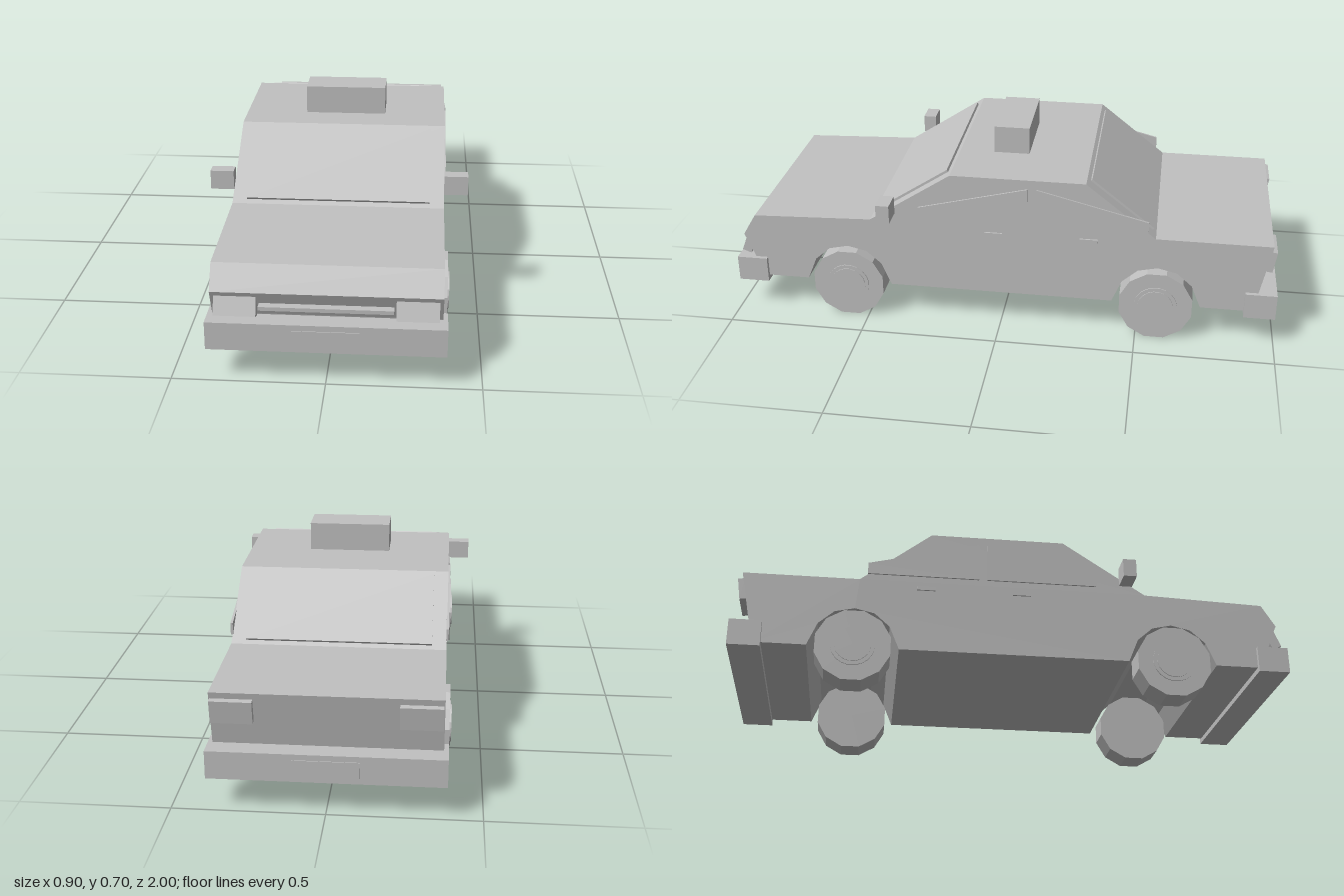
import * as THREE from 'three';

export function createModel() {
  const car = new THREE.Group();
  car.name = 'car';
  const grey = new THREE.MeshStandardMaterial({ color: 0xc0c0c0, flatShading: true });
  grey.name = 'plain grey';

  const add = (name, geometry, x = 0, y = 0, z = 0, tilt = 0) => {
    const mesh = new THREE.Mesh(geometry, grey);
    mesh.name = name;
    mesh.position.set(x, y, z);
    mesh.rotation.x = tilt;
    car.add(mesh);
    return mesh;
  };
  const box = (name, w, h, d, x, y, z, tilt) =>
    add(name, new THREE.BoxGeometry(w, h, d), x, y, z, tilt);

  // Side profile of [z, y] points, extruded across the car and centred on x
  const slab = (points, width) => {
    const shape = new THREE.Shape(points.map(([z, y]) => new THREE.Vector2(z, y)));
    const g = new THREE.ExtrudeGeometry(shape, { depth: width, bevelEnabled: false });
    return g.translate(0, 0, -width / 2).rotateY(-Math.PI / 2);
  };

  // Body with the wheel arches cut into its underside
  const axles = [0.571, -0.569];
  const arch = [[-0.16, 0.13], [-0.125, 0.215], [-0.07, 0.264], [0, 0.28],
    [0.07, 0.264], [0.125, 0.215], [0.16, 0.13]];
  const archAt = (z) => arch.map(([dz, y]) => [z + dz, y]);
  const profile = [
    [-0.915, 0.13], ...archAt(axles[1]), ...archAt(axles[0]),
    [0.91, 0.13], [0.93, 0.21], [0.967, 0.3], [0.918, 0.381],
    [0.48, 0.397], [0.18, 0.595], [-0.305, 0.595], [-0.557, 0.397], [-0.968, 0.397],
  ];
  add('body', slab(profile, 0.74));

  // Glass plates lying on the sloping windscreen and rear window
  const glass = (name, z0, y0, z1, y1) => {
    const length = Math.hypot(z1 - z0, y1 - y0) * 0.9;
    box(name, 0.64, length, 0.016, 0, (y0 + y1) / 2 + 0.001, (z0 + z1) / 2,
      Math.atan2(z1 - z0, y1 - y0));
  };
  glass('windscreen', 0.48, 0.397, 0.18, 0.595);
  glass('rearWindow', -0.557, 0.397, -0.305, 0.595);

  // Bumpers, number plates and roof sign
  for (const [end, s] of [['front', 1], ['rear', -1]]) {
    box(end + 'Bumper', 0.77, 0.096, 0.113, 0, 0.159, s * 0.9405);
    box(end + 'NumberPlate', 0.217, 0.055, 0.008, 0, 0.16, s * 0.996);
  }
  box('roofSign', 0.294, 0.104, 0.13, 0, 0.644, -0.011);
  box('grilleBar', 0.43, 0.013, 0.04, 0, 0.251, 0.957);

  const frontPane = [[0.3, 0.42], [0.3, 0.462], [-0.1, 0.562], [-0.1, 0.42]];
  const rearPane = [[-0.13, 0.42], [-0.13, 0.562], [-0.53, 0.462], [-0.53, 0.42]];

  for (const [side, s] of [['left', 1], ['right', -1]]) {
    // Lamps
    box(side + 'Headlight', 0.136, 0.063, 0.035, s * 0.29, 0.249, 0.957, -0.38);
    box(side + 'TailLight', 0.136, 0.08, 0.025, s * 0.299, 0.335, -0.964, -0.15);

    // Side glass, door handles and mirror
    add(side + 'FrontWindow', slab(frontPane, 0.008), s * 0.372);
    add(side + 'RearWindow', slab(rearPane, 0.008), s * 0.372);
    for (const z of [0.025, -0.32]) box(side + 'DoorHandle', 0.012, 0.014, 0.065, s * 0.37, 0.372, z);
    box(side + 'Mirror', 0.082, 0.068, 0.048, s * 0.411, 0.464, 0.41);

    // Twelve-sided wheels standing on a flat, with stepped hubcaps
    for (const z of axles) {
      const disc = (name, r, w, sides, x) => add(name,
        new THREE.CylinderGeometry(r, r, w, sides).rotateY(Math.PI / sides).rotateZ(Math.PI / 2),
        s * x, 0.131, z);
      disc(side + 'Wheel', 0.1356, 0.104, 12, 0.335);
      disc(side + 'Hubcap', 0.078, 0.01, 20, 0.386);
      disc(side + 'HubCentre', 0.064, 0.01, 20, 0.389);
    }
  }
  return car;
}
